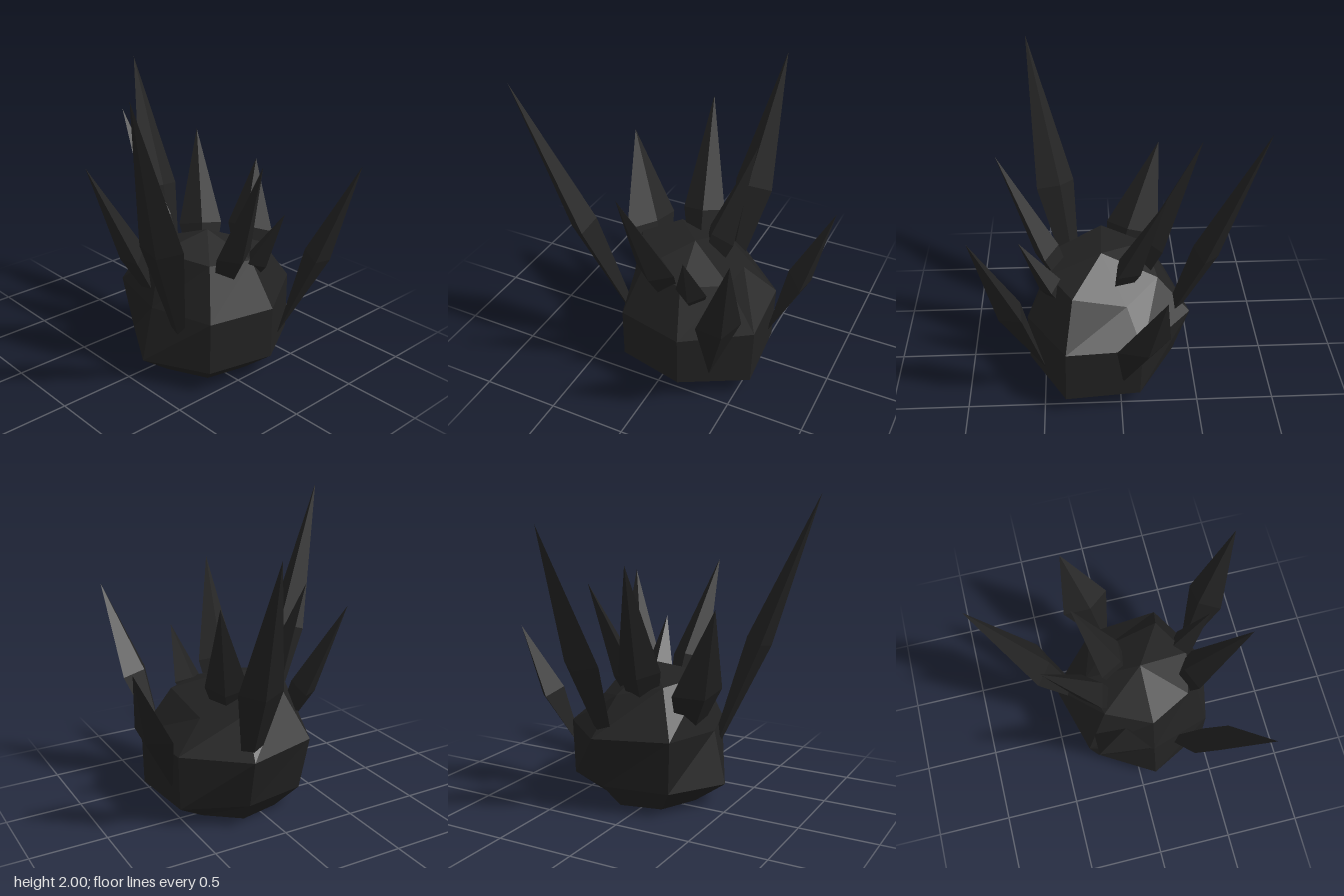
import * as THREE from 'three';

// Closed faceted skin: bottom point, rings of points, top point
function loft(bottom, rings, top) {
  const pos = [];
  const tri = (...pts) => pts.forEach((p) => pos.push(p.x, p.y, p.z));
  const n = rings[0].length;
  for (let i = 0; i < n; i++) {
    const j = (i + 1) % n;
    tri(bottom, rings[0][i], rings[0][j]);
    for (let k = 0; k + 1 < rings.length; k++) {
      const lo = rings[k], hi = rings[k + 1];
      tri(lo[i], hi[i], lo[j]);
      tri(hi[i], hi[j], lo[j]);
    }
    const last = rings[rings.length - 1];
    tri(last[i], top, last[j]);
  }
  const geo = new THREE.BufferGeometry();
  geo.setAttribute('position', new THREE.Float32BufferAttribute(pos, 3));
  geo.computeVertexNormals();
  return geo;
}

const V = (x, y, z) => new THREE.Vector3(x, y, z);

// Stretched octahedron: tip, centre, horizontal half width (wx, wz), half thickness
function spikeGeometry(tip, centre, [wx, wz], thick) {
  const t = V(...tip), c = V(...centre), w = V(wx, 0, wz);
  const base = c.clone().multiplyScalar(2).sub(t);
  const n = t.clone().sub(c).cross(w).normalize().multiplyScalar(thick);
  const ring = [c.clone().add(w), c.clone().sub(n), c.clone().sub(w), c.clone().add(n)];
  return loft(base, [ring], t);
}

export function createModel() {
  const group = new THREE.Group();
  const darkStone = new THREE.MeshStandardMaterial({ color: 0x222222, flatShading: true });
  darkStone.name = 'darkStone';
  const add = (name, geo) => {
    const mesh = new THREE.Mesh(geo, darkStone);
    mesh.name = name;
    group.add(mesh);
  };

  // Seven-sided boulder: regular rings (radius, height), then the uneven shoulder
  const sides = 7;
  const heptagon = (r, y) => Array.from({ length: sides }, (_, i) => {
    const a = Math.PI + (i / sides) * Math.PI * 2;
    return V(0.07 + r * Math.cos(a), y, 0.1 + r * Math.sin(a));
  });
  const foot = heptagon(0.32, 0);
  const belly = [[-0.46, 0.15, 0.1], [-0.24, 0.16, -0.27], [0.18, 0.17, -0.36], [0.55, 0.13, -0.12],
    [0.59, 0.13, 0.36], [0.19, 0.15, 0.6], [-0.25, 0.15, 0.5]].map((p) => V(...p));
  const waist = [[-0.38, 0.5, 0.1], [-0.28, 0.52, -0.33], [0.2, 0.51, -0.46], [0.56, 0.5, -0.13],
    [0.6, 0.51, 0.35], [0.19, 0.49, 0.6], [-0.25, 0.49, 0.5]].map((p) => V(...p));
  const shoulder = [[-0.31, 0.86, 0.1], [-0.16, 0.82, -0.19], [0.14, 0.75, -0.25], [0.36, 0.69, -0.04],
    [0.4, 0.79, 0.3], [0.14, 0.79, 0.45], [-0.15, 0.81, 0.38]].map((p) => V(...p));
  add('boulder', loft(V(0.07, 0, 0.1), [foot, belly, waist, shoulder], V(0.08, 0.91, 0.11)));

  // Crystal spikes: name, tip, centre, half width, half thickness
  const spikes = [
    ['tallFrontRightSpike', [-0.88, 2, 0.57], [-0.55, 1.05, 0.405], [0.06, 0.125], 0.085],
    ['tallBackSpike', [0.28, 1.85, -0.87], [0.21, 1, -0.54], [0.14, 0.025], 0.085],
    ['leftSpike', [0.88, 1.13, -0.24], [0.715, 0.68, -0.125], [0.055, 0.165], 0.08],
    ['frontLeftSpike', [0.64, 1.4, 0.87], [0.5, 0.8, 0.68], [0.11, -0.08], 0.085],
    ['backCrownSpike', [-0.09, 1.61, -0.53], [-0.02, 0.92, -0.24], [0.13, -0.04], 0.09],
    ['frontSpike', [-0.1, 1.53, 0.75], [-0.025, 0.88, 0.46], [0.135, 0.01], 0.085],
    ['backRightSpike', [-0.56, 1.36, -0.3], [-0.36, 0.8, -0.115], [0.09, -0.17], 0.085],
    ['crownSpike', [0.33, 1.45, -0.27], [0.185, 0.87, -0.07], [0.115, 0.08], 0.085],
    ['smallFrontSpike', [0.245, 1.12, 0.62], [0.21, 0.77, 0.44], [0.1, -0.01], 0.075],
  ];
  for (const [name, ...shape] of spikes) add(name, spikeGeometry(...shape));

  return group;
}
